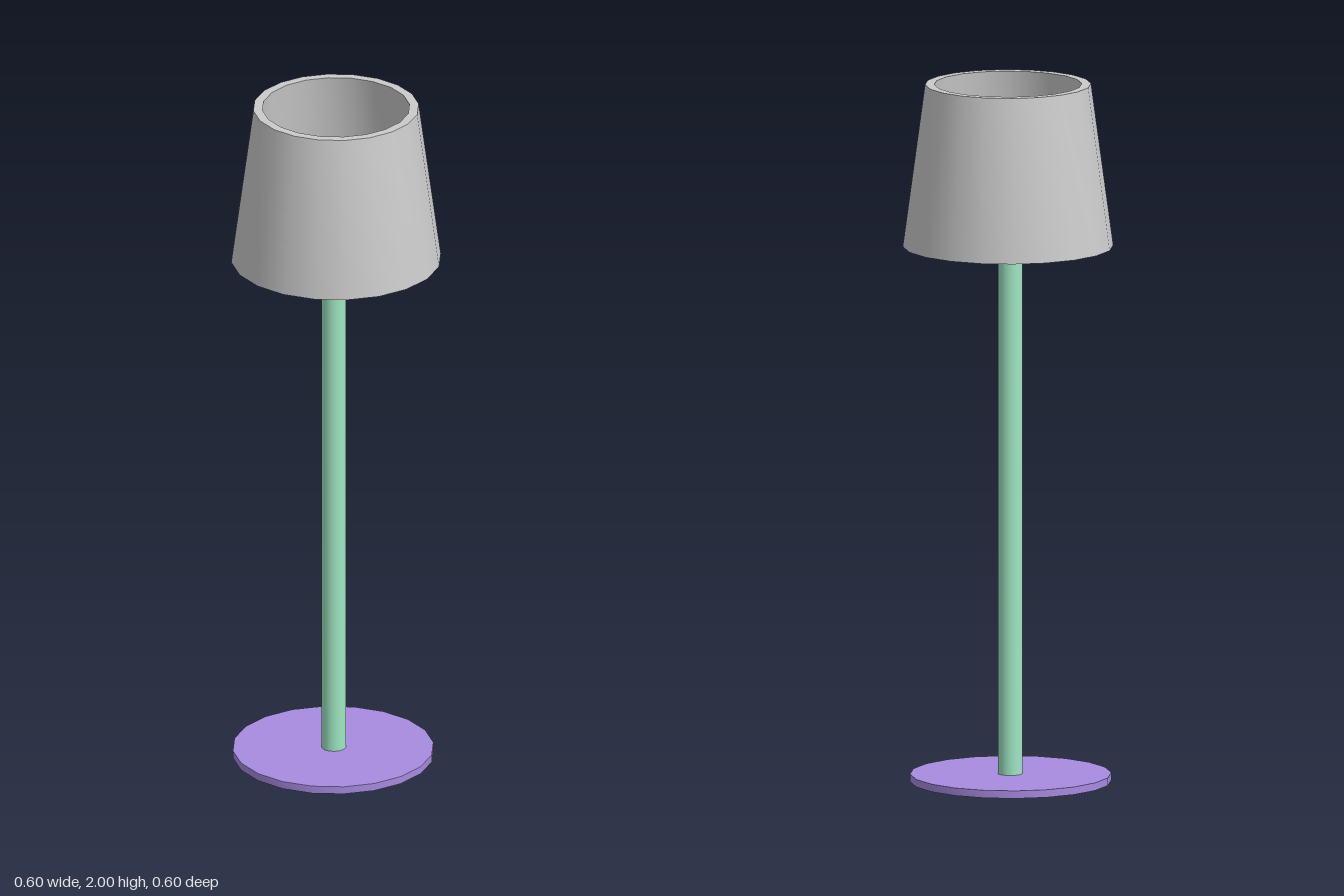
import * as THREE from 'three';
import { toCreasedNormals } from 'three/addons/utils/BufferGeometryUtils.js';

// Turned part: profile of [radius, y] points, smooth around, sharp at the rims
function turned(name, profile, sides, material, x = 0) {
  const points = profile.map(([r, y]) => new THREE.Vector2(r, y));
  const geometry = toCreasedNormals(new THREE.LatheGeometry(points, sides), 0.45);
  // the shallow base dish keeps its own crease through the step in slope
  const mesh = new THREE.Mesh(geometry, material);
  mesh.name = name;
  mesh.position.x = x;
  return mesh;
}

export function createModel() {
  const lamp = new THREE.Group();
  lamp.name = 'tableLamp';

  const grey = new THREE.MeshStandardMaterial({ color: 0xcccccc });
  const purple = new THREE.MeshStandardMaterial({ color: 0xa78be0 });
  const green = new THREE.MeshStandardMaterial({ color: 0xa0e6c3 });
  const stemX = -0.012; // stem and base sit slightly off the shade's axis

  // Tapered shade with wall thickness, open at both ends
  lamp.add(turned('shade', [
    [0.298, 1.535], [0.235, 2], [0.209, 2], [0.266, 1.535], [0.298, 1.535],
  ], 20, grey));

  // Thin disc base with a shallow dish underneath
  lamp.add(turned('base', [
    [0.034, 0.016], [0.147, 0], [0.285, 0], [0.285, 0.022], [0, 0.022],
  ], 20, purple, stemX));

  // Round stem, ending inside the shade
  const bottom = 0.016, top = 1.76;
  const stem = new THREE.Mesh(
    new THREE.CylinderGeometry(0.035, 0.035, top - bottom, 32), green);
  stem.name = 'stem';
  stem.position.set(stemX, (top + bottom) / 2, -0.002);
  lamp.add(stem);

  return lamp;
}
